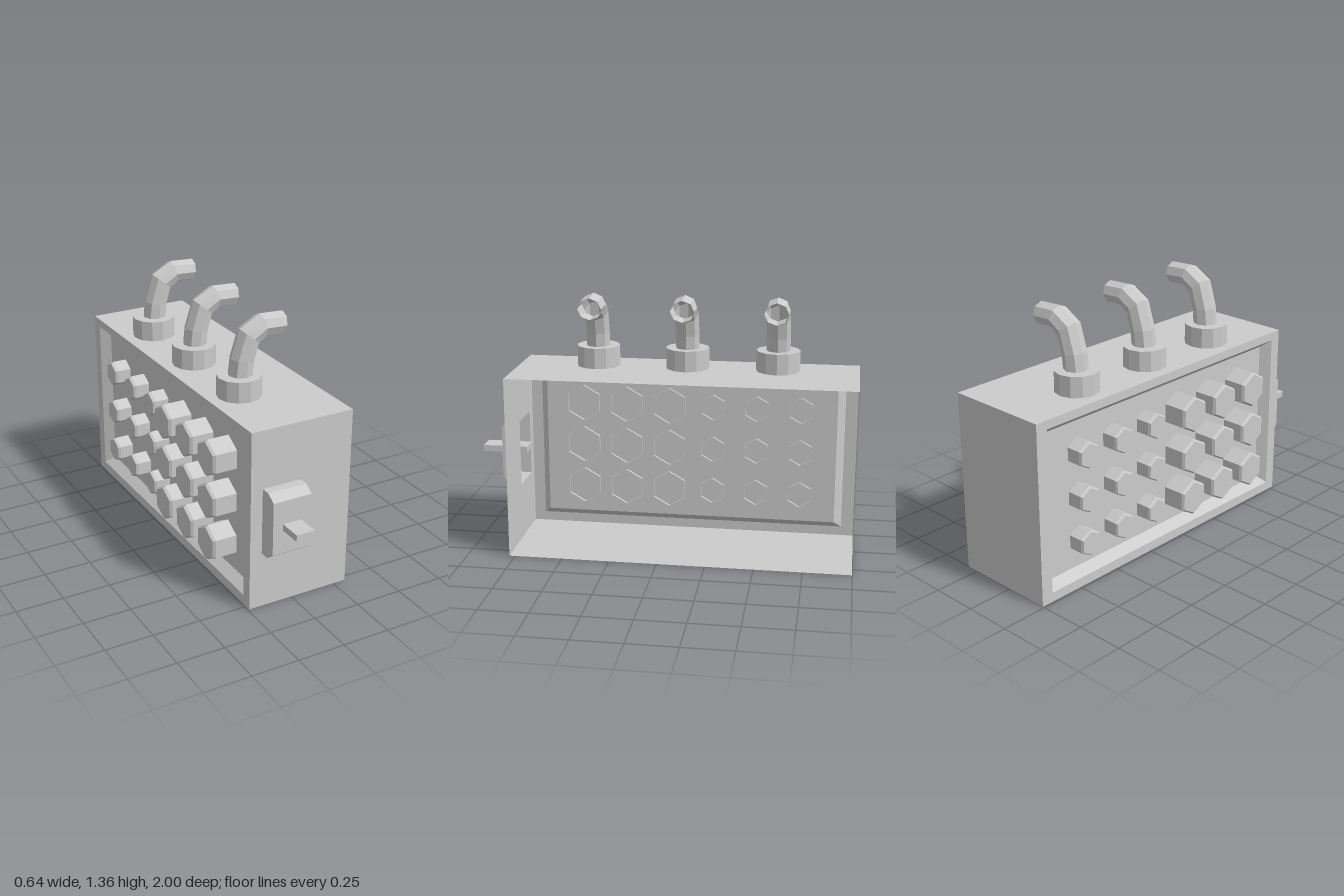
import * as THREE from 'three';

const material = new THREE.MeshStandardMaterial({ color: 0xcccccc, flatShading: true, side: THREE.DoubleSide });
const V = (x, y, z) => new THREE.Vector3(x, y, z);

// Skin over a list of equal-sized cross-sections
function loft(rings, { closed = true, cap = false } = {}) {
  const pos = [];
  const tri = (...pts) => pts.forEach((p) => pos.push(p.x, p.y, p.z));
  const n = rings[0].length;
  for (let i = 0; i < rings.length - 1; i++) {
    const a = rings[i], b = rings[i + 1];
    for (let j = 0; j < (closed ? n : n - 1); j++) {
      const k = (j + 1) % n;
      tri(a[j], a[k], b[k]);
      tri(a[j], b[k], b[j]);
    }
  }
  if (cap) {
    const e = rings[rings.length - 1];
    for (let j = 1; j < n - 1; j++) tri(e[0], e[j], e[j + 1]);
  }
  const geo = new THREE.BufferGeometry();
  geo.setAttribute('position', new THREE.Float32BufferAttribute(pos, 3));
  geo.computeVertexNormals();
  return geo;
}

// Rectangles across x and across z
const rectX = (x, y0, y1, z0, z1) => [V(x, y0, z0), V(x, y0, z1), V(x, y1, z1), V(x, y1, z0)];
const rectZ = (z, x0, x1, y0, y1) => [V(x0, y0, z), V(x1, y0, z), V(x1, y1, z), V(x0, y1, z)];

export function createModel() {
  const model = new THREE.Group();
  const add = (name, geo, parent = model) => {
    const mesh = new THREE.Mesh(geo, material);
    mesh.name = name;
    parent.add(mesh);
    return mesh;
  };
  const L = -0.24, R = 0.32, H = 0.955, F = 0.78, B = -1;

  // Thin housing, open on the +x side: top, back and bottom
  const wrap = (x) => [V(x, H, F), V(x, H, B), V(x, 0, B), V(x, 0, F)];
  add('housing', loft([wrap(R), wrap(L)], { closed: false }));

  // Side frame with sloped recess and sunken panel
  add('recessedPanel', loft([
    rectX(L, 0, H, B, F),
    rectX(L, 0.05, 0.91, -0.935, 0.72),
    rectX(-0.19, 0.09, 0.87, -0.895, 0.68),
  ], { cap: true }));

  // Front wall running into the hollow switch plate, chamfered above and below
  add('frontWallAndSwitchPlate', loft([
    rectZ(F, L, R, 0, H),
    rectZ(F, -0.175, 0.035, 0.30, 0.65),
    rectZ(0.83, -0.175, 0.035, 0.30, 0.65),
    rectZ(0.88, -0.175, 0.035, 0.337, 0.618),
  ], { cap: true }));
  add('switchLever', new THREE.BoxGeometry(0.1, 0.034, 0.24)).position.set(-0.07, 0.478, 0.88);

  // Hexagonal bolts: three large and three small columns
  const hex = (x, r) => Array.from({ length: 6 }, (_, i) => {
    const a = (i * Math.PI) / 3;
    return V(x, r * Math.cos(a), r * Math.sin(a));
  });
  const bolt = (r, end) => loft([hex(-0.175, r), hex(end + 0.014, r), hex(end, r * 0.9)], { cap: true });
  const bolts = new THREE.Group();
  bolts.name = 'bolts';
  model.add(bolts);
  const sizes = [
    { name: 'largeBolt', geo: bolt(0.098, -0.32), columns: [0.475, 0.24, 0.005] },
    { name: 'smallBolt', geo: bolt(0.07, -0.28), columns: [-0.232, -0.468, -0.704] },
  ];
  for (const { name, geo, columns } of sizes) {
    for (const z of columns) {
      for (const y of [0.242, 0.478, 0.712]) add(name, geo, bolts).position.set(0, y, z);
    }
  }

  // Bent pipe: [outer x, outer y, inner x, inner y] of each eight-sided section
  const bends = [
    [-0.127, 1.0, -0.002, 1.0],
    [-0.127, 1.063, -0.002, 1.063],
    [-0.117, 1.149, 0.005, 1.131],
    [-0.07, 1.296, 0.027, 1.21],
    [0.041, 1.357, 0.063, 1.239],
    [0.17, 1.35, 0.153, 1.235],
  ];
  const pipe = loft(bends.map(([ox, oy, ix, iy]) => Array.from({ length: 8 }, (_, i) => {
    const a = (i * Math.PI) / 4, c = Math.cos(a) / 2;
    return V((ox + ix) / 2 + (ox - ix) * c, (oy + iy) / 2 + (oy - iy) * c, 0.062 * Math.sin(a));
  })));

  // Twelve-sided collar, open underneath and poking through the top
  const ring = (y, r) => Array.from({ length: 12 }, (_, i) => {
    const a = (i * Math.PI) / 6;
    return V(-0.07 + r * Math.cos(a), y, r * Math.sin(a));
  });
  const collar = loft([ring(0.928, 0.114), ring(1.063, 0.114)], { cap: true });

  for (const z of [0.365, -0.108, -0.58]) {
    const outlet = new THREE.Group();
    outlet.name = 'pipeOutlet';
    outlet.position.z = z;
    add('collar', collar, outlet);
    add('pipe', pipe, outlet);
    model.add(outlet);
  }
  return model;
}
